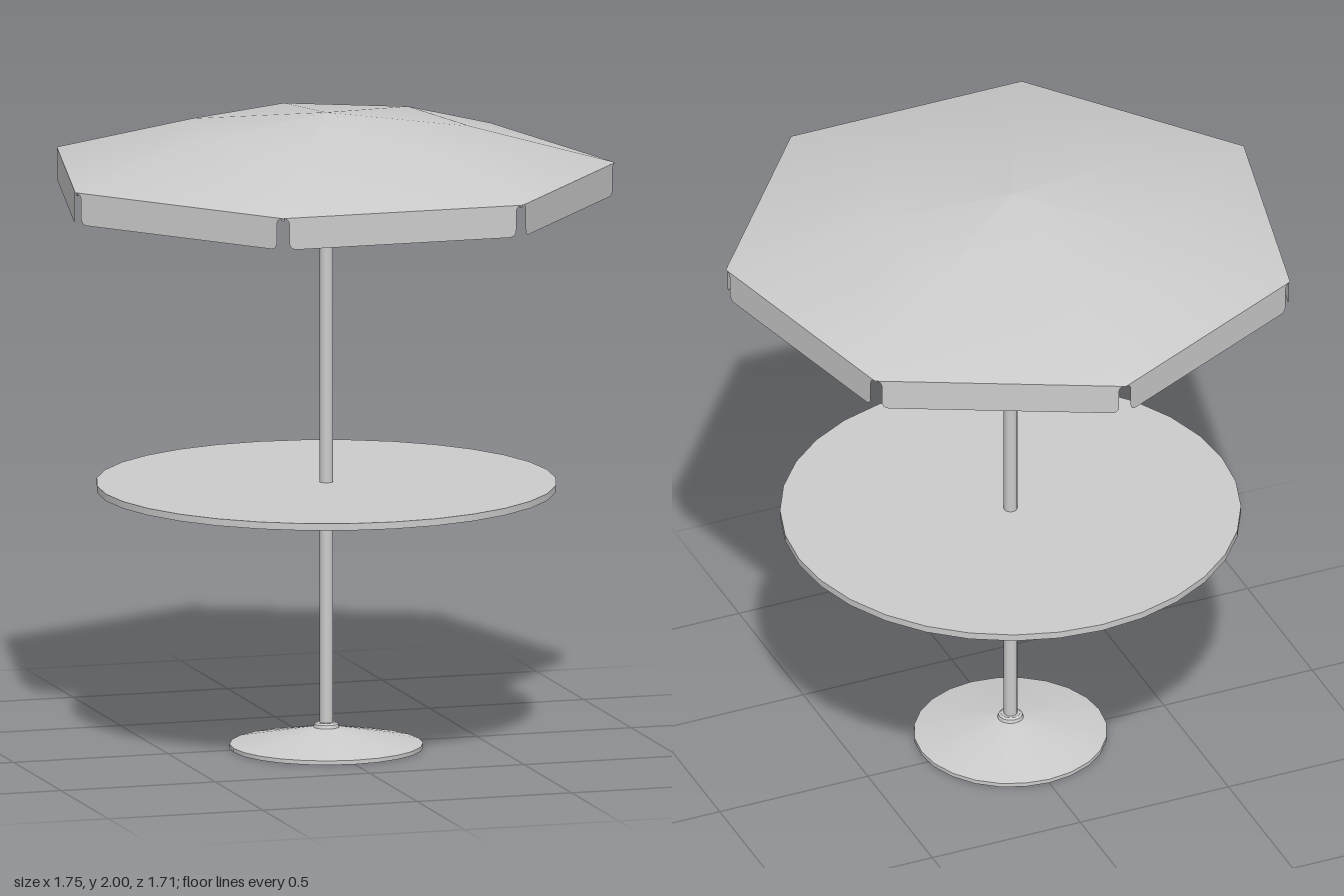
import * as THREE from 'three';
import { toCreasedNormals } from 'three/addons/utils/BufferGeometryUtils.js';

const SIDES = 7, R = 0.897, AXIS_Z = 0.042;
const STEP = (Math.PI * 2) / SIDES;
const RIM_Y = 1.83, MID_Y = 1.95, TOP_Y = 2;

export function createModel() {
  const model = new THREE.Group();
  const solid = new THREE.MeshStandardMaterial({ color: 0xcccccc });
  const cloth = new THREE.MeshStandardMaterial({ color: 0xcccccc, side: THREE.DoubleSide });

  const add = (name, geometry, material = solid, parent = model) => {
    const mesh = new THREE.Mesh(geometry, material);
    mesh.name = name;
    parent.add(mesh);
    return mesh;
  };
  const points = (list) => list.map(([x, y]) => new THREE.Vector2(x, y));

  // Base: shallow cone with a thin rim and a small collar
  const base = new THREE.LatheGeometry(points([
    [0, 0], [0.3, 0], [0.3, 0.013], [0.04, 0.065], [0.037, 0.075], [0.03, 0.08], [0, 0.08],
  ]), 24);
  add('base', toCreasedNormals(base, 0.5));

  // Pole
  add('pole', new THREE.CylinderGeometry(0.021, 0.021, 1.92, 16)).position.y = 1.03;

  // Round table top
  add('tableTop', new THREE.CylinderGeometry(0.714, 0.714, 0.022, 32)).position.y = 0.826;

  // Seven-sided canopy, with a steeper outer half
  add('canopy', new THREE.LatheGeometry(
    points([[R, RIM_Y], [R / 2, MID_Y], [0, TOP_Y]]), SIDES, Math.PI), cloth);

  // Valance flap: rounded lower corners, arched notches at the ends
  const h = R * Math.sin(STEP / 2), e = h - 0.022, low = 1.73;
  const flap = new THREE.Shape();
  flap.moveTo(-h, RIM_Y);
  flap.quadraticCurveTo(-e, RIM_Y, -e, RIM_Y - 0.025);
  flap.lineTo(-e, low + 0.025);
  flap.quadraticCurveTo(-e, low, -e + 0.025, low);
  flap.lineTo(e - 0.025, low);
  flap.quadraticCurveTo(e, low, e, low + 0.025);
  flap.lineTo(e, RIM_Y - 0.025);
  flap.quadraticCurveTo(e, RIM_Y, h, RIM_Y);
  const flapGeometry = new THREE.ShapeGeometry(flap, 8);

  // Thin round bar between two points
  const bar = (name, a, b, parent) => {
    const mesh = add(name, new THREE.CylinderGeometry(0.005, 0.005, a.distanceTo(b), 6), solid, parent);
    mesh.position.copy(a).lerp(b, 0.5);
    mesh.quaternion.setFromUnitVectors(new THREE.Vector3(0, 1, 0), b.clone().sub(a).normalize());
  };

  for (let i = 0; i < SIDES; i++) {
    const valance = add('valanceFlap', flapGeometry, cloth);
    valance.rotation.y = i * STEP;
    valance.position.set(Math.sin(i * STEP), 0, Math.cos(i * STEP))
      .multiplyScalar(R * Math.cos(STEP / 2));

    // Bent rib under each canopy crease
    const rib = new THREE.Group();
    rib.name = 'rib';
    rib.rotation.y = Math.PI + i * STEP;
    const at = (y, r) => new THREE.Vector3(0, y - 0.006, r);
    bar('ribInner', at(TOP_Y, 0.01), at(MID_Y, R / 2), rib);
    bar('ribOuter', at(MID_Y, R / 2), at(RIM_Y, R - 0.006), rib);
    model.add(rib);
  }

  // Centre the footprint, which is deeper behind the pole than in front
  model.children.forEach((part) => { part.position.z += AXIS_Z; });
  return model;
}
